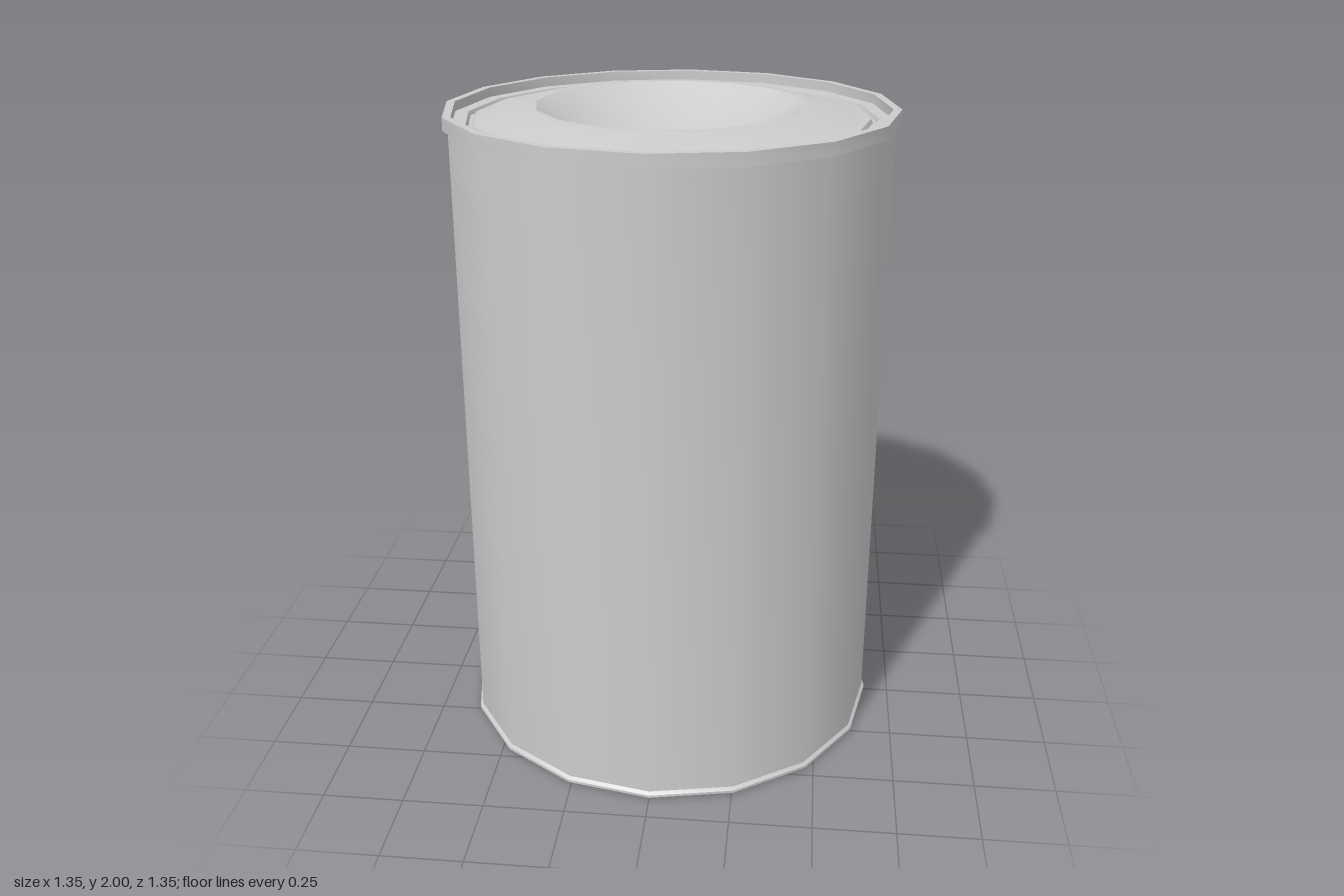
import * as THREE from 'three';
import { toCreasedNormals } from 'three/addons/utils/BufferGeometryUtils.js';

const SIDES = 16;

export function createModel() {
  const model = new THREE.Group();
  model.name = 'can';
  const material = new THREE.MeshStandardMaterial({ color: 0xcccccc, side: THREE.DoubleSide });

  // Turns a [radius, height] profile into a 16-sided part, smooth except at sharp edges
  function turned(name, profile) {
    const points = profile.map(([r, y]) => new THREE.Vector2(r, y));
    const geometry = toCreasedNormals(new THREE.LatheGeometry(points, SIDES), 0.52);
    const mesh = new THREE.Mesh(geometry, material);
    mesh.name = name;
    model.add(mesh);
  }

  // Recessed bottom disc with its small flared rim
  turned('bottom', [[0, 0.02], [0.642, 0.02], [0.648, 0], [0.664, 0], [0.671, 0.008], [0.671, 0.016], [0.662, 0.025]]);

  // Straight wall
  turned('wall', [[0.662, 0.025], [0.662, 1.955]]);

  // Raised band around the top edge
  turned('topRim', [[0.662, 1.955], [0.677, 1.955], [0.677, 1.994], [0.652, 1.994], [0.652, 1.965]]);

  // Lid: flat ledge, narrow groove, then a rounded shoulder up to the dish
  turned('lid', [
    [0.652, 1.965], [0.612, 1.965], [0.606, 1.953], [0.594, 1.953], [0.588, 1.965],
    [0.545, 1.97], [0.435, 2], [0.403, 2],
  ]);

  // Shallow concave dish in the middle
  const radius = 0.403, depth = 0.13, steps = 8;
  const dish = [];
  for (let i = 0; i <= steps; i++) {
    const t = 1 - i / steps;
    dish.push([radius * t, 2 - depth * (1 - t * t)]);
  }
  turned('dish', dish);

  return model;
}
